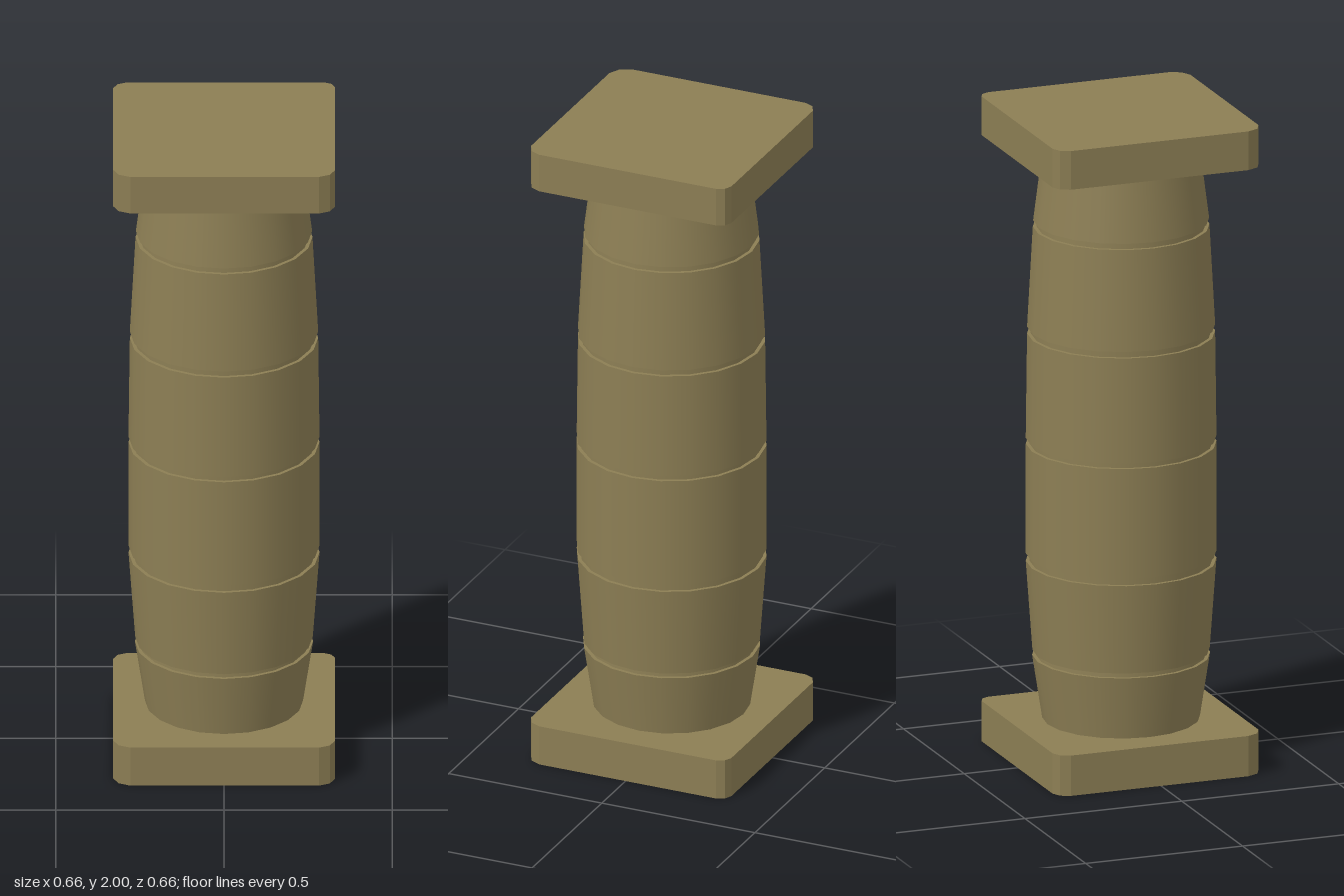
import * as THREE from 'three';
import { mergeGeometries } from 'three/addons/utils/BufferGeometryUtils.js';

const SIDES = 20;
const HALF = 0.33;
const PLATE = 0.125;

// square slab with clipped corners, each corner cut in two facets
function plateGeometry(height) {
  // corner, direction of arrival, direction of departure, cut size
  const corners = [
    [1, -1, 1, 0, 0, 1, 0.048],
    [1, 1, 0, 1, -1, 0, 0.034],
    [-1, 1, -1, 0, 0, -1, 0.042],
    [-1, -1, 0, -1, 1, 0, 0.052],
  ];
  const points = [];
  for (const [sx, sy, ix, iy, ox, oy, cut] of corners) {
    const x = sx * HALF, y = sy * HALF;
    const bevel = cut * 0.32;
    points.push(
      new THREE.Vector2(x - ix * cut, y - iy * cut),
      new THREE.Vector2(x - sx * bevel, y - sy * bevel),
      new THREE.Vector2(x + ox * cut, y + oy * cut));
  }
  const geometry = new THREE.ExtrudeGeometry(new THREE.Shape(points), { depth: height, bevelEnabled: false });
  return geometry.rotateX(-Math.PI / 2);
}

// lathe with a hard edge at every profile point, smooth around the axis
function hardLathe(profile) {
  const bands = [];
  for (let i = 0; i + 1 < profile.length; i++) {
    const pair = [profile[i], profile[i + 1]].map(([r, y]) => new THREE.Vector2(r, y));
    bands.push(new THREE.LatheGeometry(pair, SIDES));
  }
  return mergeGeometries(bands);
}

export function createModel() {
  const model = new THREE.Group();
  model.name = 'column';
  const stone = new THREE.MeshStandardMaterial({ color: 0x8c7e54 });

  function add(name, geometry, y = 0) {
    const mesh = new THREE.Mesh(geometry, stone);
    mesh.name = name;
    mesh.position.y = y;
    model.add(mesh);
  }

  // base and capital slabs
  add('basePlate', plateGeometry(PLATE));
  add('topPlate', plateGeometry(0.12), 1.88);

  // swelling shaft of stacked drums: bottom y, bottom radius, top y, top radius
  const drums = [
    [0.125, 0.235, 0.32, 0.265],
    [0.335, 0.264, 0.612, 0.284],
    [0.635, 0.284, 0.975, 0.284],
    [0.992, 0.284, 1.317, 0.28],
    [1.337, 0.28, 1.648, 0.263],
    [1.667, 0.262, 1.88, 0.235],
  ];
  const groove = 0.011;
  drums.forEach(([y0, r0, y1, r1], i) => {
    const profile = [[r0, y0], [r1, y1]];
    if (i > 0) profile.unshift([r0 - groove, y0]);
    if (i < drums.length - 1) profile.push([r1 - groove, y1]);
    add('drum' + (i + 1), hardLathe(profile));
    // recessed joint above this drum
    if (i < drums.length - 1) {
      const [nextY, nextR] = drums[i + 1];
      add('joint' + (i + 1), hardLathe([[r1 - groove, y1], [nextR - groove, nextY]]));
    }
  });

  return model;
}
